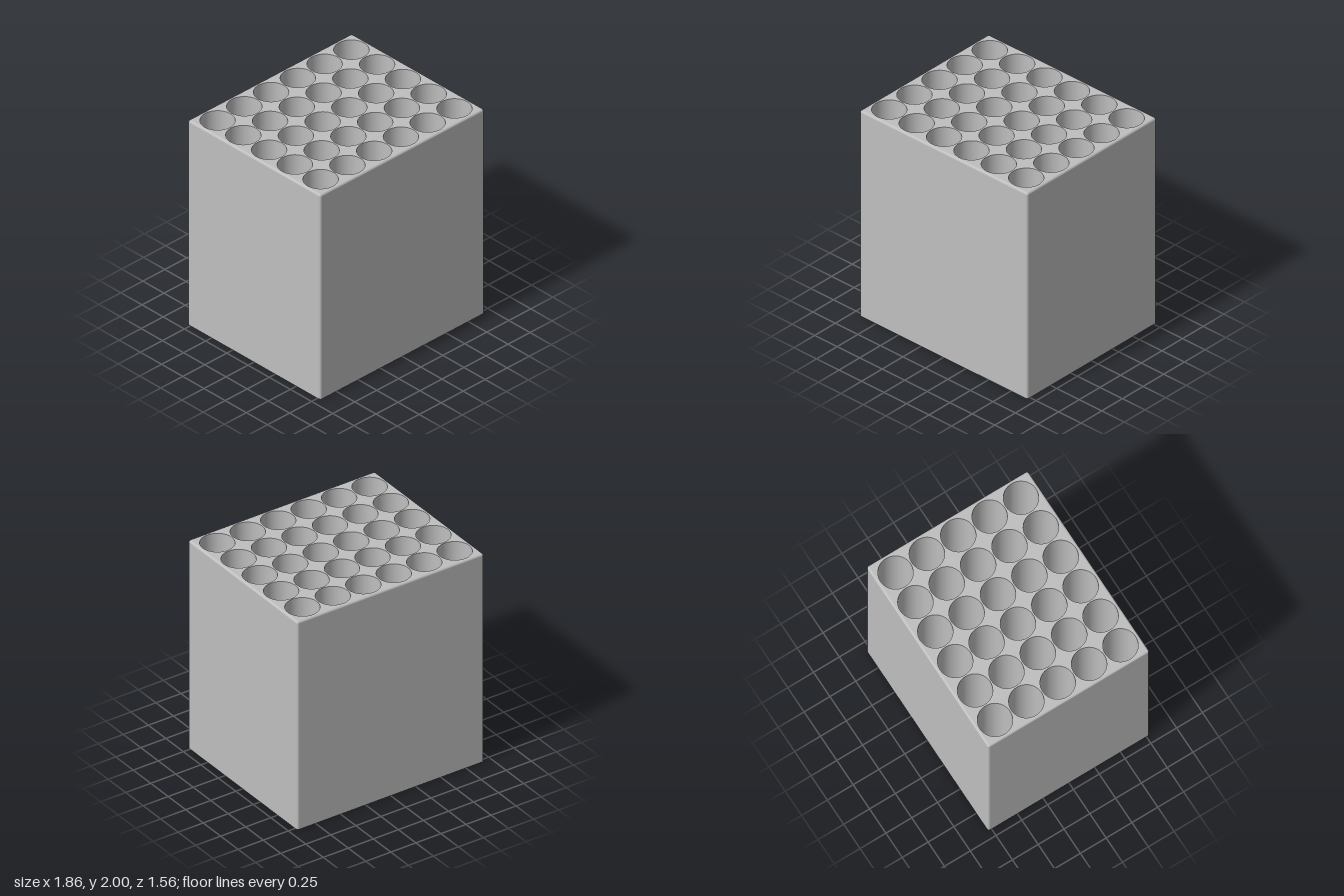
import * as THREE from 'three';
import { mergeGeometries } from 'three/addons/utils/BufferGeometryUtils.js';

const HALF_X = 0.932, HALF_Z = 0.782, HEIGHT = 2, FILLET = 0.02;
const COLS = 6, ROWS = 5, PITCH = 0.304, HOLE_R = 0.145, FLOOR = 0.05;
const STEPS = 6;

// Corner points of a rounded rectangle, inset by t, with outward directions
function outline(t) {
  const points = [];
  for (let c = 0; c < 4; c++) {
    const sx = c === 0 || c === 3 ? 1 : -1, sz = c < 2 ? 1 : -1;
    for (let i = 0; i <= STEPS; i++) {
      const a = (c + i / STEPS) * Math.PI / 2, dx = Math.cos(a), dz = Math.sin(a);
      points.push({
        x: sx * (HALF_X - FILLET) + dx * (FILLET - t),
        z: sz * (HALF_Z - FILLET) + dz * (FILLET - t), dx, dz,
      });
    }
  }
  return points;
}

// Side walls, rounded upright edges and rounded top rim
function wallGeometry() {
  const pos = [], nor = [], index = [];
  const rings = [{ y: 0, phi: 0 }];
  for (let i = 0; i <= STEPS; i++) {
    const phi = i / STEPS * Math.PI / 2;
    rings.push({ y: HEIGHT - FILLET + FILLET * Math.sin(phi), phi });
  }
  const n = 4 * (STEPS + 1);
  rings.forEach(({ y, phi }, r) => {
    for (const p of outline(FILLET * (1 - Math.cos(phi)))) {
      pos.push(p.x, y, p.z);
      nor.push(p.dx * Math.cos(phi), Math.sin(phi), p.dz * Math.cos(phi));
    }
    if (r === 0) return;
    for (let j = 0; j < n; j++) {
      const a = (r - 1) * n + j, b = (r - 1) * n + (j + 1) % n;
      index.push(a, a + n, b, b, a + n, b + n);
    }
  });
  const g = new THREE.BufferGeometry();
  g.setAttribute('position', new THREE.Float32BufferAttribute(pos, 3));
  g.setAttribute('normal', new THREE.Float32BufferAttribute(nor, 3));
  g.setIndex(index);
  return g;
}

export function createModel() {
  const group = new THREE.Group();
  const grey = new THREE.MeshStandardMaterial({ color: 0xbfbfbf });
  grey.name = 'plain grey';
  const add = (name, geometry) => {
    const mesh = new THREE.Mesh(geometry, grey);
    mesh.name = name;
    group.add(mesh);
    return mesh;
  };

  add('blockWalls', wallGeometry());

  // Underside
  const base = new THREE.Shape(outline(0).map(p => new THREE.Vector2(p.x, p.z)));
  add('underside', new THREE.ShapeGeometry(base).rotateX(Math.PI / 2));

  // Top plate with a grid of round openings
  const w = HALF_X - FILLET, d = HALF_Z - FILLET;
  const top = new THREE.Shape([
    new THREE.Vector2(-w, -d), new THREE.Vector2(w, -d),
    new THREE.Vector2(w, d), new THREE.Vector2(-w, d),
  ]);

  // One socket: inward-facing wall and a flat floor
  const wall = new THREE.LatheGeometry(
    [new THREE.Vector2(HOLE_R, HEIGHT), new THREE.Vector2(HOLE_R, FLOOR)], 48);
  const floor = new THREE.CircleGeometry(HOLE_R, 48).rotateX(-Math.PI / 2).translate(0, FLOOR, 0);
  const socket = mergeGeometries([wall, floor]);

  for (let r = 0; r < ROWS; r++) {
    for (let c = 0; c < COLS; c++) {
      const x = (c - (COLS - 1) / 2) * PITCH, z = (r - (ROWS - 1) / 2) * PITCH;
      top.holes.push(new THREE.Path().absarc(x, z, HOLE_R, 0, Math.PI * 2, true));
      add(`socket${r + 1}x${c + 1}`, socket).position.set(x, 0, z);
    }
  }
  add('topPlate', new THREE.ShapeGeometry(top, 24).rotateX(-Math.PI / 2).translate(0, HEIGHT, 0));

  return group;
}
